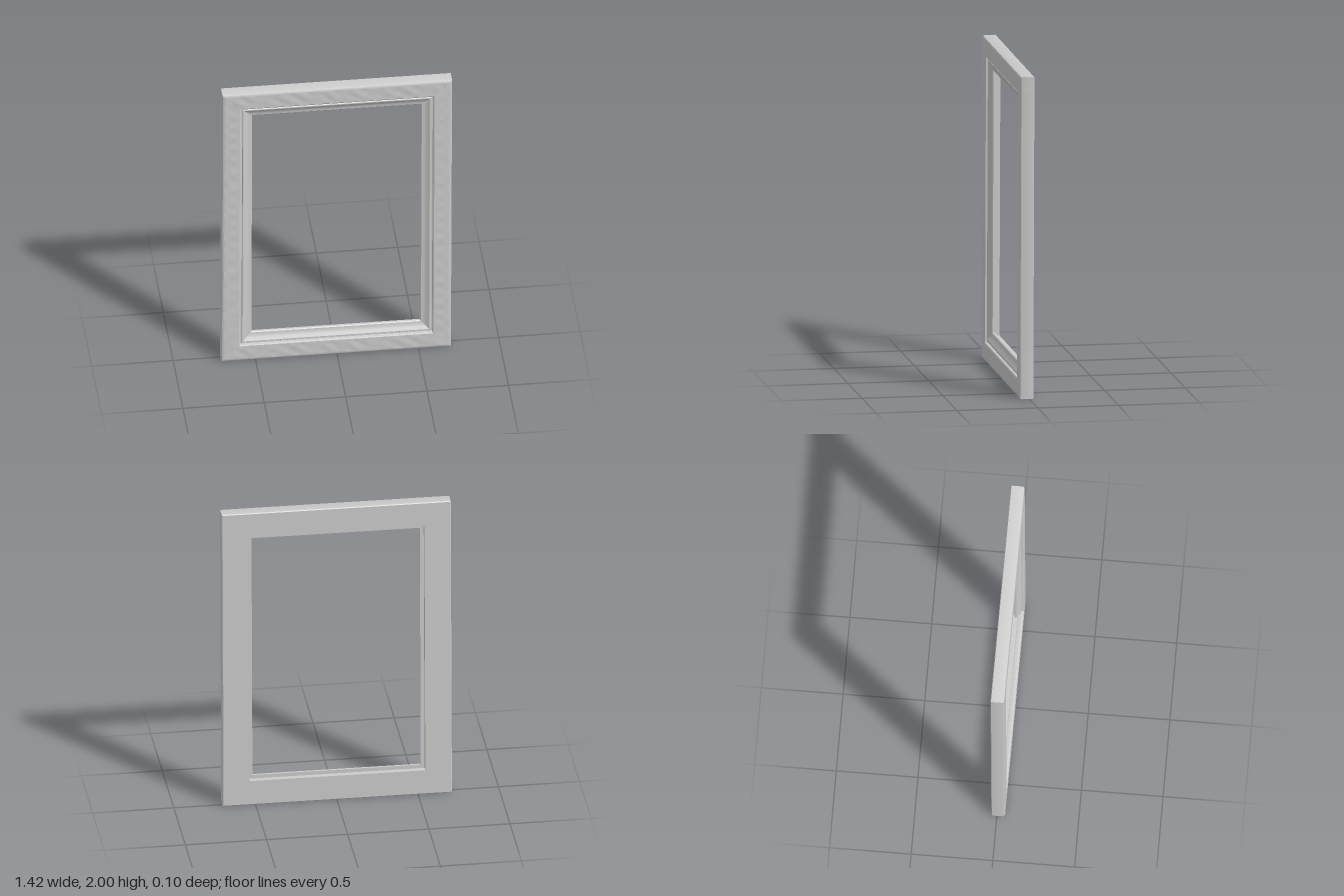
import * as THREE from 'three';
import { toCreasedNormals } from 'three/addons/utils/BufferGeometryUtils.js';

const HALF_W = 0.705, HALF_H = 1.0, STEPS = 90;
const BAND_START = 0.012, BAND_END = 0.108;

// Moulding section as [inset from outer edge, z], running outer side > front > opening > back
function mouldingProfile() {
  const band = [];
  for (let i = 0; i <= 10; i++) band.push([THREE.MathUtils.lerp(BAND_START, BAND_END, i / 10), 0.052]);
  return [
    [0, -0.029], [0, 0.04], [0.004, 0.048],       // outer side and rounded edge
    ...band,                                      // wide hammered band
    [0.114, 0.048], [0.117, 0.035], [0.124, 0.034], // step and groove
    [0.128, 0.039], [0.134, 0.039], [0.142, 0.034], // bead
    [0.153, 0.026], [0.166, 0.02], [0.182, 0.018],  // cove down to the lip
    [0.187, 0.013], [0.187, 0], [0.163, 0],         // lip and back rebate
    [0.163, -0.033], [0.005, -0.033],               // flat back
  ];
}

// Shallow uneven dimples across the band
function hammered(d, s, seed) {
  const t = (d - BAND_START) / (BAND_END - BAND_START);
  if (t <= 0 || t >= 1) return 0;
  const waves = Math.sin(s * 68 + seed + Math.sin(s * 9) * 1.5) * Math.cos(t * 5 + seed)
    + 0.6 * Math.sin(s * 41 + t * 6 + seed * 2.3);
  return 0.0016 * Math.sin(Math.PI * t) * waves;
}

// One mitred rail: the section swept along a side, shortened by its inset at both ends
function makeRail(name, angle, material) {
  const profile = mouldingProfile();
  const n = profile.length;
  const c = Math.round(Math.cos(angle)), s = Math.round(Math.sin(angle));
  const across = c !== 0 ? HALF_W : HALF_H;
  const along = c !== 0 ? HALF_H : HALF_W;
  const pos = [], index = [];
  for (let j = 0; j <= STEPS; j++) {
    for (const [d, z] of profile) {
      const a = (along - d) * (2 * j / STEPS - 1), o = across - d;
      const x = c * o - s * a, y = s * o + c * a;
      // slight warp of an old, hand-made frame
      const warp = 0.006 * x - 0.003 * y;
      pos.push(x + 0.004 * y, y + HALF_H, z + hammered(d, a, angle * 3) + warp);
    }
  }
  for (let j = 0; j < STEPS; j++) {
    for (let i = 0; i < n; i++) {
      const k = (i + 1) % n;
      const p = j * n + i, q = p + n, r = j * n + k, t = r + n;
      index.push(p, q, r, q, t, r);
    }
  }
  const geometry = new THREE.BufferGeometry();
  geometry.setAttribute('position', new THREE.Float32BufferAttribute(pos, 3));
  geometry.setIndex(index);
  const mesh = new THREE.Mesh(toCreasedNormals(geometry, 0.5), material);
  mesh.name = name;
  return mesh;
}

export function createModel() {
  const group = new THREE.Group();
  group.name = 'pictureFrame';
  const material = new THREE.MeshStandardMaterial({ color: 0xcccccc });
  ['leftRail', 'topRail', 'rightRail', 'bottomRail'].forEach((name, i) => {
    group.add(makeRail(name, i * Math.PI / 2, material));
  });
  return group;
}
